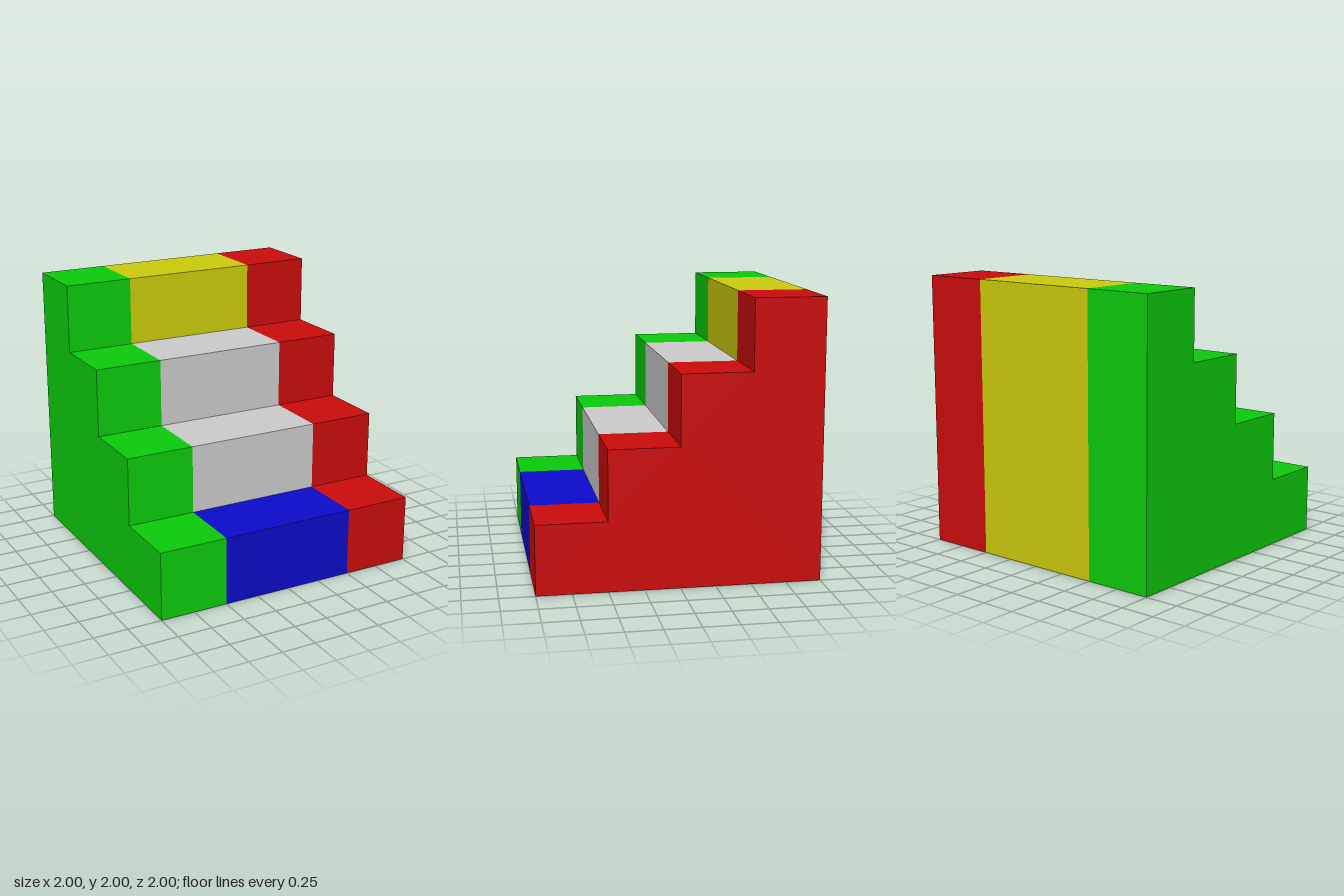
import * as THREE from 'three';

const STEP = 0.5;

function material(name, color) {
  const m = new THREE.MeshStandardMaterial({ color });
  m.name = name;
  return m;
}

// Side profile of a staircase: u runs front to back, y is up
function stairShape(u0, y0, steps) {
  const shape = new THREE.Shape();
  shape.moveTo(u0, y0);
  for (let i = 0; i < steps; i++) {
    shape.lineTo(u0 + i * STEP, y0 + (i + 1) * STEP);
    shape.lineTo(u0 + (i + 1) * STEP, y0 + (i + 1) * STEP);
  }
  shape.lineTo(u0 + steps * STEP, y0);
  shape.closePath();
  return shape;
}

// Extrudes a staircase sideways along x, rising towards the back
function stairs(name, shape, x, width, mat) {
  const geo = new THREE.ExtrudeGeometry(shape, { depth: width, bevelEnabled: false });
  geo.rotateY(Math.PI / 2);
  geo.translate(x, 0, 0);
  const mesh = new THREE.Mesh(geo, mat);
  mesh.name = name;
  return mesh;
}

function block(name, height, depth, y, z, mat) {
  const mesh = new THREE.Mesh(new THREE.BoxGeometry(1, height, depth), mat);
  mesh.position.set(0, y, z);
  mesh.name = name;
  return mesh;
}

export function createModel() {
  const red = material('red', 0xcc0c0c);
  const green = material('green', 0x0ccc0c);
  const blue = material('blue', 0x0c0ccc);
  const yellow = material('yellow', 0xcccc0c);
  const grey = material('light grey', 0xcccccc);

  const model = new THREE.Group();
  model.name = 'staircase';
  model.add(
    // Four-step side sections
    stairs('leftSteps', stairShape(-1, 0, 4), 0.5, 0.5, red),
    stairs('rightSteps', stairShape(-1, 0, 4), -1, 0.5, green),
    // Middle section: bottom slab, two steps and the back wall
    block('bottomStep', 0.5, 1.5, 0.25, 0.25, blue),
    stairs('middleSteps', stairShape(-0.5, 0.5, 2), -0.5, 1, grey),
    block('topStepWall', 2, 0.5, 1, -0.75, yellow),
  );
  return model;
}
